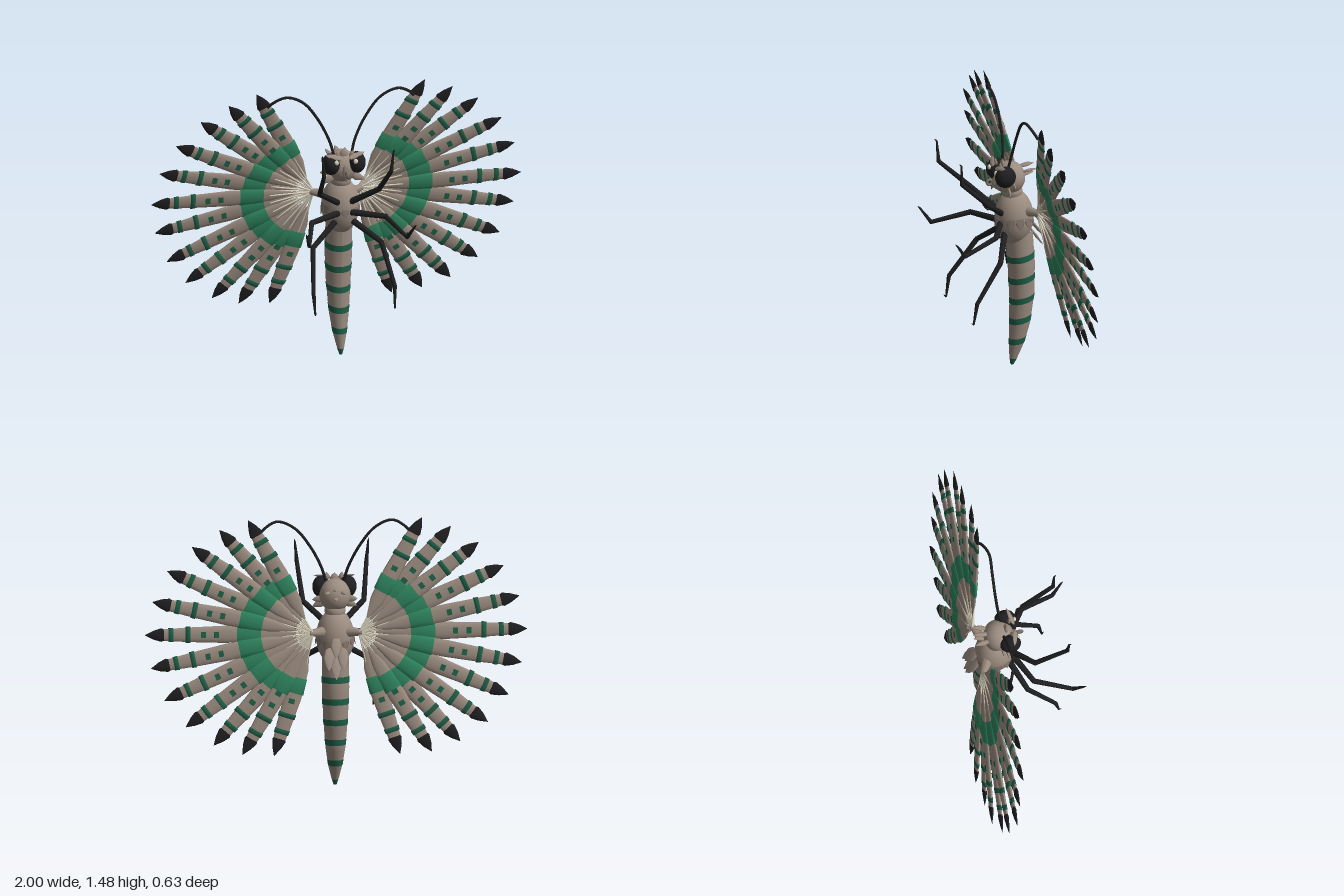
import * as THREE from 'three';

const material = (name, color, side = THREE.FrontSide) => {
  const m = new THREE.MeshStandardMaterial({ color, side });
  m.name = name;
  return m;
};
const V = (x, y, z) => new THREE.Vector3(x, y, z);

export function createModel() {
  const brown = material('taupe', 0x9b8c80);
  const scaleBrown = material('dark taupe', 0x80736a);
  const darkGreen = material('dark green', 0x1f5f48);
  const green = material('bright green', 0x2f855f);
  const black = material('black', 0x1f1f21);
  const cream = material('cream', 0xd9d1bc);
  const model = new THREE.Group();
  model.name = 'featherWingedMoth';

  const add = (parent, name, geo, mat, pos) => {
    const mesh = new THREE.Mesh(geo, mat);
    mesh.name = name;
    if (pos) mesh.position.copy(pos);
    parent.add(mesh);
    return mesh;
  };
  const ellipsoid = (name, mat, pos, rx, ry, rz) =>
    add(model, name, new THREE.SphereGeometry(1, 28, 20).scale(rx, ry, rz), mat, pos);
  // Round bar between two points
  const limb = (parent, name, mat, a, b, ra, rb) => {
    const d = b.clone().sub(a);
    const m = add(parent, name, new THREE.CylinderGeometry(rb, ra, d.length(), 8), mat,
      a.clone().add(b).multiplyScalar(0.5));
    m.quaternion.setFromUnitVectors(V(0, 1, 0), d.normalize());
  };
  // Flat pointed plume lying along dir, its flat side facing normal
  const leaf = (name, mat, pos, dir, normal, len, wid, thick = 0.25) => {
    const pts = [[0.001, 0], [0.35, 0.12], [0.5, 0.45], [0.3, 0.78], [0.001, 1]]
      .map(([r, t]) => new THREE.Vector2(r * wid, t * len));
    const m = add(model, name, new THREE.LatheGeometry(pts, 8).scale(1, 1, thick), mat, pos);
    const y = dir.clone().normalize();
    const x = y.clone().cross(normal).normalize();
    m.quaternion.setFromRotationMatrix(new THREE.Matrix4().makeBasis(x, y, x.clone().cross(y)));
  };
  // Piecewise linear lookup of a row of values by its first column
  const sample = (rows, t) => {
    let i = 0;
    while (i < rows.length - 2 && t > rows[i + 1][0]) i++;
    const [a, b] = [rows[i], rows[i + 1]];
    const k = THREE.MathUtils.clamp((t - a[0]) / (b[0] - a[0]), 0, 1);
    return a.map((v, j) => THREE.MathUtils.lerp(v, b[j], k));
  };

  // Thorax and head
  ellipsoid('thorax', brown, V(0, 0.825, -0.11), 0.1, 0.152, 0.102);
  ellipsoid('neck', brown, V(0, 0.97, -0.1), 0.055, 0.05, 0.055);
  ellipsoid('head', brown, V(0, 1.05, -0.088), 0.082, 0.088, 0.08);

  // Overlapping collar plumes
  for (let i = 0; i < 12; i++) {
    const a = (i / 12) * Math.PI * 2;
    const out = V(Math.sin(a), 0, Math.cos(a));
    leaf('collarPlume', scaleBrown, V(0, 0.925, -0.11).addScaledVector(out, 0.072),
      out.clone().multiplyScalar(0.24).add(V(0, -1, 0)), out, 0.15, 0.068);
  }
  // Back plumes
  for (const [x, y, z, l] of [[0, 0.86, -0.2, 0.12], [0.035, 0.8, -0.2, 0.13], [-0.035, 0.8, -0.2, 0.13], [0, 0.75, -0.2, 0.13]])
    leaf('backPlume', brown, V(x, y, z), V(x, -0.8, -0.55), V(0, 0.5, -0.8), l, 0.06);
  // Crest at the back of the head
  for (const [x, y] of [[0, 1.1], [0.035, 1.085], [-0.035, 1.085], [0, 1.05]])
    leaf('headCrest', brown, V(x, y, -0.14), V(x * 3, 0.1, -0.5), V(0, 1, 0), 0.085, 0.03, 0.5);
  leaf('crown', brown, V(0, 1.1, -0.05), V(0, 1, 0.1), V(0, 0, 1), 0.06, 0.05, 0.5);
  // Curled mouthparts
  leaf('beak', scaleBrown, V(0, 1.075, -0.012), V(0, -1, 0.35), V(0, 0, 1), 0.09, 0.035, 0.7);
  add(model, 'mouthCurl', new THREE.TorusGeometry(0.014, 0.007, 8, 16).rotateY(Math.PI / 2), scaleBrown, V(0, 1.035, 0.026));

  // Abdomen rows: height, half width, half depth, centre z
  const abdomen = [[0, 0.008, 0.009, -0.1], [0.04, 0.02, 0.022, -0.108], [0.12, 0.038, 0.042, -0.125],
    [0.22, 0.052, 0.056, -0.142], [0.38, 0.064, 0.066, -0.154], [0.55, 0.072, 0.071, -0.151], [0.74, 0.07, 0.071, -0.138]];
  const abdomenPart = (name, mat, y0, y1, grow) => {
    const n = 24, rows = Math.max(2, Math.ceil((y1 - y0) / 0.02)), pos = [], idx = [];
    for (let j = 0; j <= rows; j++) {
      const [y, rx, rz, zc] = sample(abdomen, y0 + ((y1 - y0) * j) / rows);
      for (let i = 0; i <= n; i++) {
        const a = (i / n) * Math.PI * 2, z = Math.cos(a) * rz;
        pos.push(Math.sin(a) * rx * grow, y - z * 0.2 * Math.min(1, y * 5), zc + z * grow);
        if (j < rows && i < n) {
          const p = j * (n + 1) + i;
          idx.push(p, p + 1, p + n + 1, p + 1, p + n + 2, p + n + 1);
        }
      }
    }
    const g = new THREE.BufferGeometry();
    g.setAttribute('position', new THREE.Float32BufferAttribute(pos, 3));
    g.setIndex(idx);
    g.computeVertexNormals();
    add(model, name, g, mat);
  };
  abdomenPart('abdomen', brown, 0, 0.74, 1);
  for (const y of [0.016, 0.135, 0.255, 0.37, 0.485, 0.605])
    abdomenPart('abdomenStripe', darkGreen, Math.max(0, y - 0.017), y + 0.017, 1.025);
  add(model, 'abdomenTip', new THREE.CircleGeometry(0.01, 16).rotateX(Math.PI / 2), darkGreen, V(0, 0, -0.1));

  // One feather growing along +y, built of turned and flattened sections
  const feather = (L) => {
    const f = new THREE.Group();
    f.name = 'feather';
    const vane = [[0.09, 0.005], [0.28 * L, 0.036], [0.52 * L, 0.046], [0.74 * L, 0.039], [0.9 * L, 0.03]];
    const section = (name, mat, a, b, grow, profile = vane) => {
      const pts = [];
      const mid = profile.map((p) => p[0]).filter((t) => t > a + 1e-4 && t < b - 1e-4);
      for (const t of [a, ...mid, b])
        pts.push(new THREE.Vector2(sample(profile, t)[1] * grow, t));
      if (grow > 1) { // close raised bands
        pts.unshift(new THREE.Vector2(0.001, a));
        pts.push(new THREE.Vector2(0.001, b));
      }
      add(f, name, new THREE.LatheGeometry(pts, 12).scale(1, 1, 0.28), mat);
    };
    section('featherVane', brown, 0.09, 0.9 * L, 1);
    section('greenBand', green, 0.15 + 0.14 * L, 0.1 + 0.34 * L, 1.12);
    for (const t of [L - 0.225, L - 0.135]) section('thinBand', darkGreen, t - 0.013, t + 0.013, 1.12);
    section('featherTip', black, L - 0.12, L, 1,
      [[L - 0.12, 0.022], [L - 0.085, 0.036], [L - 0.045, 0.024], [L, 0.001]]);
    // Small marks on both faces
    for (const d of [0.305, 0.375])
      for (const s of [-1, 1])
        if (L - d > 0.36)
          add(f, 'featherMark', new THREE.BoxGeometry(0.032, 0.026, 0.006), darkGreen, V(0, L - d, s * 0.0115));
    limb(f, 'quill', cream, V(0, 0, 0.003), V(0, 0.24, 0.008), 0.005, 0.004);
    return f;
  };
  // Feather tips of one wing, from top to bottom
  const tips = [[0.455, 1.48], [0.605, 1.43], [0.75, 1.345], [0.88, 1.22], [0.96, 1.06], [1, 0.885],
    [0.97, 0.71], [0.9, 0.54], [0.79, 0.4], [0.645, 0.3], [0.495, 0.25], [0.33, 0.24]];

  for (const s of [1, -1]) {
    // Wing fan, leaning forward at the top
    const wing = new THREE.Group();
    wing.name = s > 0 ? 'leftWing' : 'rightWing';
    wing.position.set(s * 0.12, 0.88, -0.202);
    wing.rotation.x = 0.17;
    model.add(wing);
    tips.forEach(([x, y], i) => {
      const dx = x - 0.12, dy = (y - 0.88) * 1.012, a = Math.atan2(dx, dy);
      const f = feather(Math.hypot(dx, dy));
      f.rotation.z = -s * a;
      f.position.z = i % 2 ? 0.004 : -0.004;
      wing.add(f);
      const b = a + 0.1;
      limb(wing, 'fineQuill', cream, V(0, 0, 0), V(s * Math.sin(b) * 0.2, Math.cos(b) * 0.2, 0), 0.005, 0.002);
    });
    limb(model, 'wingRoot', brown, V(s * 0.04, 0.87, -0.15), V(s * 0.14, 0.88, -0.2), 0.035, 0.015);

    // Eye, glint, brow and cheek tufts
    ellipsoid('eye', black, V(s * 0.07, 1.08, -0.038), 0.046, 0.057, 0.056);
    ellipsoid('eyeGlint', cream, V(s * 0.052, 1.1, 0.009), 0.012, 0.014, 0.009);
    leaf('brow', brown, V(s * 0.015, 1.115, 0), V(s * 1, 0.25, -0.25), V(0, 0.7, 0.7), 0.1, 0.035, 0.4);
    leaf('browHorn', brown, V(s * 0.035, 1.11, -0.025), V(s * 0.15, 1, 0.15), V(0, 0, 1), 0.045, 0.03, 0.6);
    leaf('cheekTuft', brown, V(s * 0.04, 1.01, -0.06), V(s * 1, -0.45, 0.1), V(0, 0, 1), 0.085, 0.045, 0.4);
    leaf('cheekTuft', brown, V(s * 0.05, 1.03, -0.08), V(s * 1, -0.1, 0), V(0, 0, 1), 0.07, 0.04, 0.4);

    // Antenna
    const path = new THREE.CatmullRomCurve3([V(s * 0.045, 1.11, -0.06), V(s * 0.07, 1.2, -0.073), V(s * 0.13, 1.32, -0.078),
      V(s * 0.21, 1.42, -0.076), V(s * 0.3, 1.458, -0.072), V(s * 0.365, 1.43, -0.09), V(s * 0.395, 1.4, -0.105)]);
    add(model, 'antenna', new THREE.TubeGeometry(path, 32, 0.0075, 8), black);

    // Three jointed legs
    const legs = [
      [[0.04, 0.87, -0.025], [0.16, 0.96, 0.075], [0.182, 1.115, 0.243], [0.192, 1.225, 0.25]],
      [[0.04, 0.81, -0.02], [0.2, 0.8, 0.06], [0.265, 0.745, 0.255], [0.293, 0.82, 0.308]],
      [[0.05, 0.755, -0.04], [0.185, 0.65, 0.03], [0.22, 0.45, 0.172], [0.215, 0.335, 0.19]]];
    for (const points of legs) {
      const p = points.map(([x, y, z]) => V(s * x, y, z));
      const r = [0.017, 0.014, 0.011, 0.005];
      for (let i = 0; i < 3; i++) {
        limb(model, 'legSegment', black, p[i], p[i + 1], r[i], r[i + 1]);
        add(model, 'legJoint', new THREE.SphereGeometry(r[i], 10, 8), black, p[i]);
      }
      limb(model, 'claw', black, p[3], p[3].clone().add(V(s * 0.004, 0.012, 0.012)), 0.005, 0.001);
    }
  }
  return model;
}
